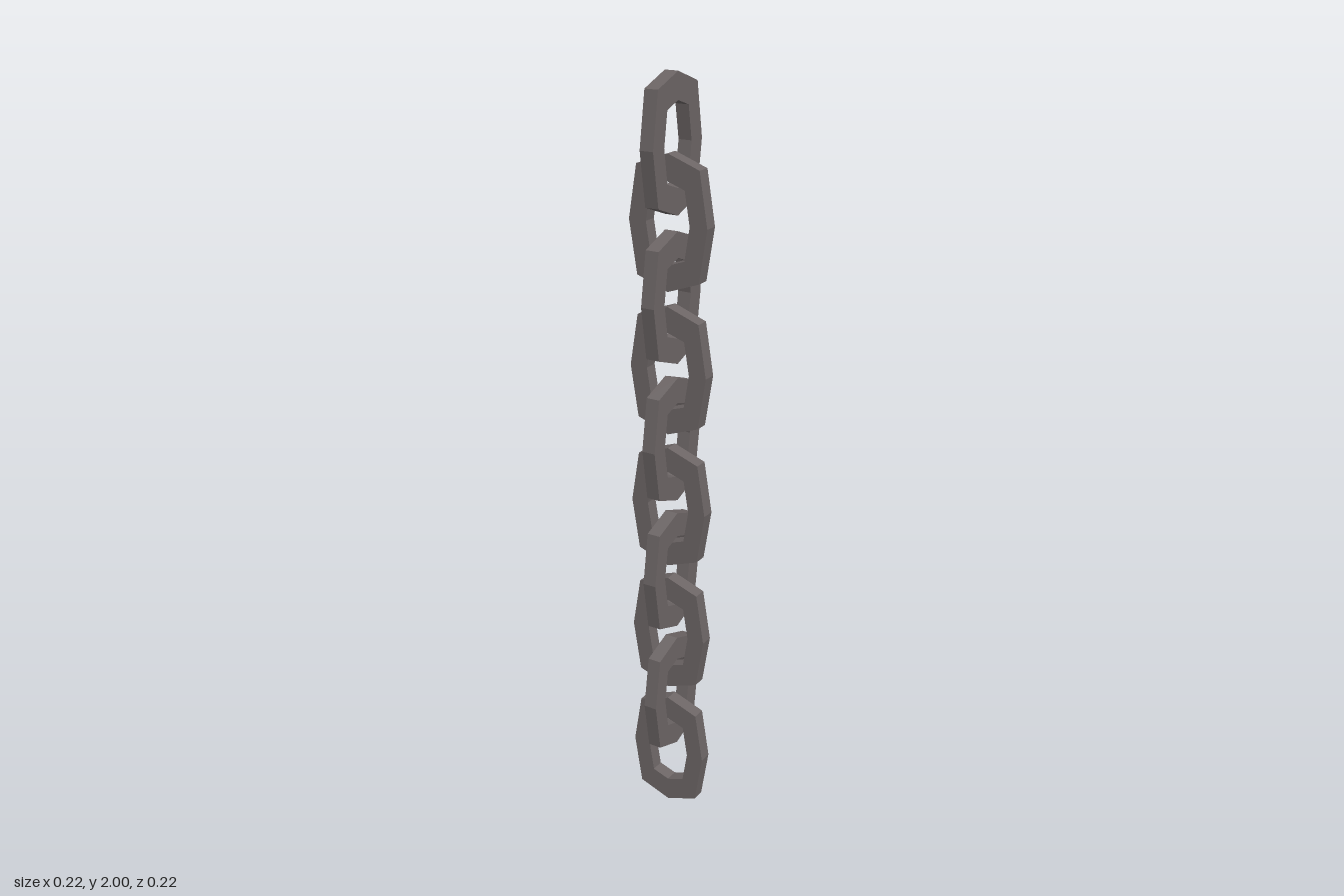
import * as THREE from 'three';

const LINKS = 10;
const HEIGHT = 0.333;
const PITCH = (2 - HEIGHT) / (LINKS - 1);
const DEPTH = 0.036;

// Eight-sided ring outline from its top, shoulder and side measurements
function octagon(PathType, top, shoulderX, shoulderY, side) {
  return new PathType([
    [0, top], [-shoulderX, shoulderY], [-side, 0], [-shoulderX, -shoulderY],
    [0, -top], [shoulderX, -shoulderY], [side, 0], [shoulderX, shoulderY],
  ].map(([x, y]) => new THREE.Vector2(x, y)));
}

export function createModel() {
  const chain = new THREE.Group();
  chain.name = 'chain';

  const iron = new THREE.MeshStandardMaterial({ color: 0x6c6565, flatShading: true });
  iron.name = 'dark iron';

  // One flat link with an open centre
  const outline = octagon(THREE.Shape, HEIGHT / 2, 0.087, 0.135, 0.109);
  outline.holes.push(octagon(THREE.Path, 0.101, 0.047, 0.085, 0.061));
  const linkGeometry = new THREE.ExtrudeGeometry(outline, { depth: DEPTH, bevelEnabled: false });
  linkGeometry.translate(0, 0, -DEPTH / 2);

  // Links stacked upward, every second one turned a quarter
  for (let i = 0; i < LINKS; i++) {
    const link = new THREE.Mesh(linkGeometry, iron);
    link.name = `link${i + 1}`;
    link.position.y = HEIGHT / 2 + i * PITCH;
    link.rotation.y = (i % 2) * Math.PI / 2;
    chain.add(link);
  }
  return chain;
}
